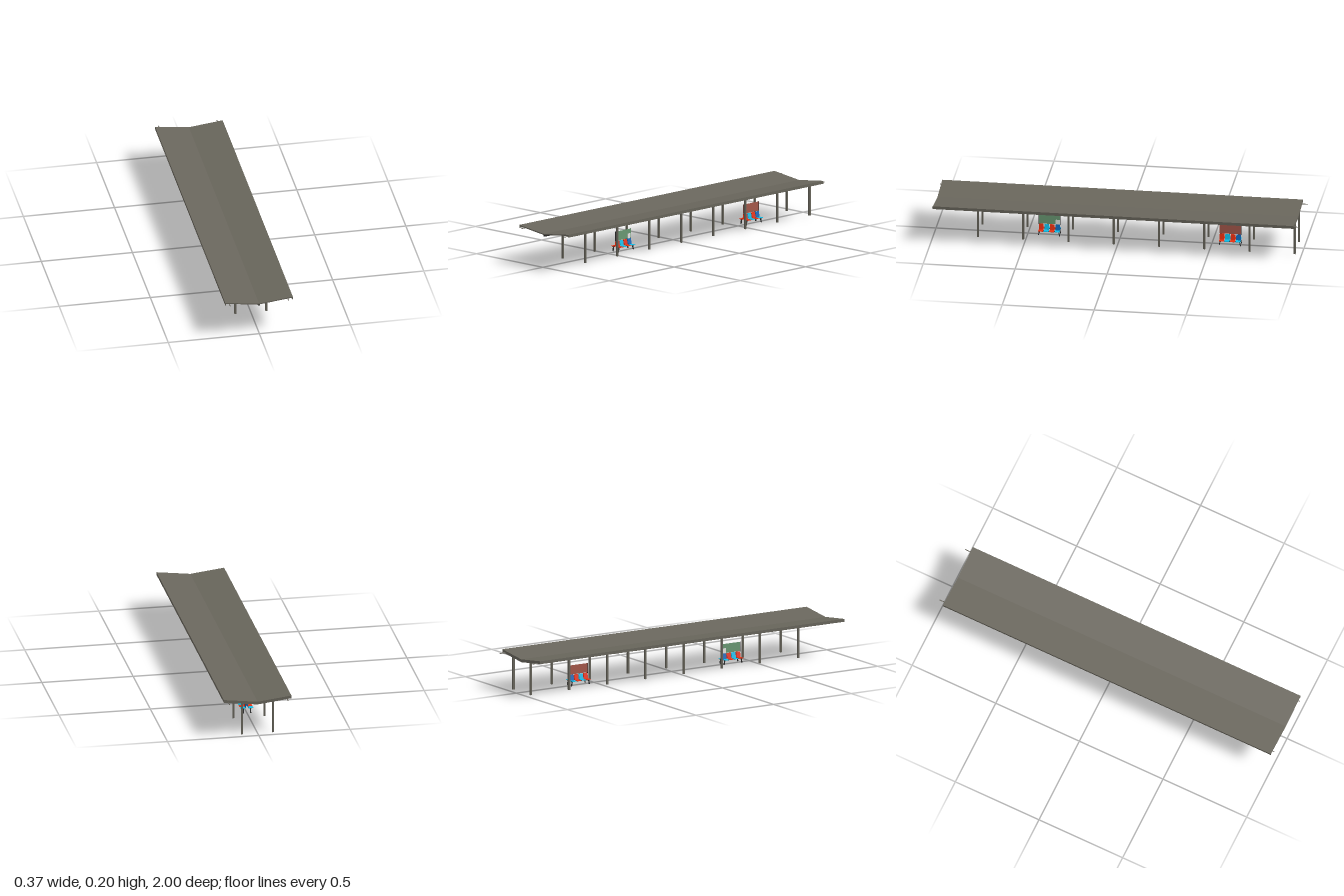
import * as THREE from 'three';

const mat = (name, color) => new THREE.MeshStandardMaterial({ name, color });

export function createModel() {
  const root = new THREE.Group();
  root.name = 'platformCanopy';
  const steel = mat('warm grey steel', 0x69665c);
  const dark = mat('dark soffit', 0x2c2b28);
  const lampMat = mat('lamp white', 0xf4f6f2);
  const red = mat('seat red', 0xf03010);
  const cyan = mat('seat cyan', 0x10d0ff);
  const blue = mat('seat blue', 0x0f66b8);
  const green = mat('sign green', 0x6a9a74);
  const brick = mat('sign red', 0xa6584a);
  const black = mat('bench frame', 0x2a2a2a);

  const roofY = x => 0.182 + Math.abs(x) * 0.122;

  function box(parent, name, m, w, h, d, x, y, z) {
    const mesh = new THREE.Mesh(new THREE.BoxGeometry(w, h, d), m);
    mesh.name = name;
    mesh.position.set(x, y, z);
    parent.add(mesh);
    return mesh;
  }

  // A strip that follows the slope of both wings, between x0 and x1
  function wingStrip(name, m, x0, x1, top, bottom, z0, z1) {
    for (const s of [-1, 1]) {
      const shape = new THREE.Shape([
        new THREE.Vector2(s * x0, roofY(x0) - top),
        new THREE.Vector2(s * x1, roofY(x1) - top),
        new THREE.Vector2(s * x1, roofY(x1) - bottom),
        new THREE.Vector2(s * x0, roofY(x0) - bottom),
      ]);
      const geo = new THREE.ExtrudeGeometry(shape, { depth: z1 - z0, bevelEnabled: false });
      const mesh = new THREE.Mesh(geo, m);
      mesh.name = name;
      mesh.position.z = z0;
      root.add(mesh);
    }
  }

  // Roof sheet, edge fascia, valley beam and dark soffit panels
  const back = -0.968, front = 0.992;
  wingStrip('roofSheet', steel, 0, 0.185, 0, 0.004, back, front);
  wingStrip('endTrim', steel, 0, 0.181, 0.004, 0.006, front - 0.004, front);
  wingStrip('fascia', steel, 0.181, 0.185, 0.004, 0.016, back, front);
  wingStrip('valleyBeam', dark, 0, 0.005, 0.004, 0.0155, back + 0.01, front - 0.004);
  wingStrip('soffitPanel', dark, 0.015, 0.072, 0.004, 0.005, back + 0.01, front - 0.01);
  wingStrip('soffitPanel', dark, 0.11, 0.172, 0.004, 0.005, back + 0.01, front - 0.01);

  // Portal frames: two columns and a sloping rafter each
  for (let i = 0; i < 8; i++) {
    const z = 0.76 - i * 0.246;
    wingStrip('rafter', steel, 0, 0.184, 0.004, 0.016, z - 0.005, z + 0.005);
    for (const s of [-1, 1]) {
      box(root, 'column', steel, 0.01, 0.188, 0.01, s * 0.085, 0.094, z);
      // Lamps hung under the rafter ends
      if (i < 7) {
        const lamp = box(root, 'lamp', lampMat, 0.01, 0.003, 0.075, s * 0.155, 0.1835, z);
        lamp.rotation.z = s * 0.122;
      }
    }
  }

  // Service pipes projecting at both ends
  for (const s of [-1, 1]) {
    const pipe = new THREE.Mesh(new THREE.CylinderGeometry(0.0025, 0.0025, 2, 8), steel);
    pipe.name = 'servicePipe';
    pipe.rotation.x = Math.PI / 2;
    pipe.position.set(s * 0.16, 0.189, 0);
    root.add(pipe);
  }

  // Back-to-back benches with a framed sign panel above
  function bench(z, signMat) {
    const g = new THREE.Group();
    g.name = 'bench';
    g.position.z = z;
    const pans = [red, cyan, red, cyan];
    const rests = [red, cyan, red, blue];
    for (const s of [-1, 1]) {
      pans.forEach((m, i) => {
        const sz = 0.045 - i * 0.03;
        box(g, 'seat', m, 0.027, 0.002, 0.026, s * 0.0215, 0.0275, sz);
        const rest = box(g, 'backrest', rests[i], 0.0015, 0.03, 0.025, s * 0.0045, 0.043, sz);
        rest.rotation.z = s * 0.2;
      });
      box(g, 'seatRail', black, 0.008, 0.003, 0.116, s * 0.02, 0.025, 0);
      for (const e of [-1, 1]) {
        const leg = box(g, 'leg', black, 0.006, 0.026, 0.004, s * 0.02, 0.0128, e * 0.055);
        leg.rotation.x = -e * 0.2;
      }
    }
    box(g, 'signPanel', signMat, 0.002, 0.05, 0.116, 0, 0.0855, 0);
    for (const e of [-1, 1]) {
      box(g, 'signPost', black, 0.003, 0.055, 0.002, 0, 0.0845, e * 0.059);
    }
    return g;
  }
  const nearBench = bench(0.383, green);
  box(nearBench, 'notice', lampMat, 0.004, 0.026, 0.022, 0, 0.074, -0.045);
  root.add(nearBench, bench(-0.6, brick));

  return root;
}
